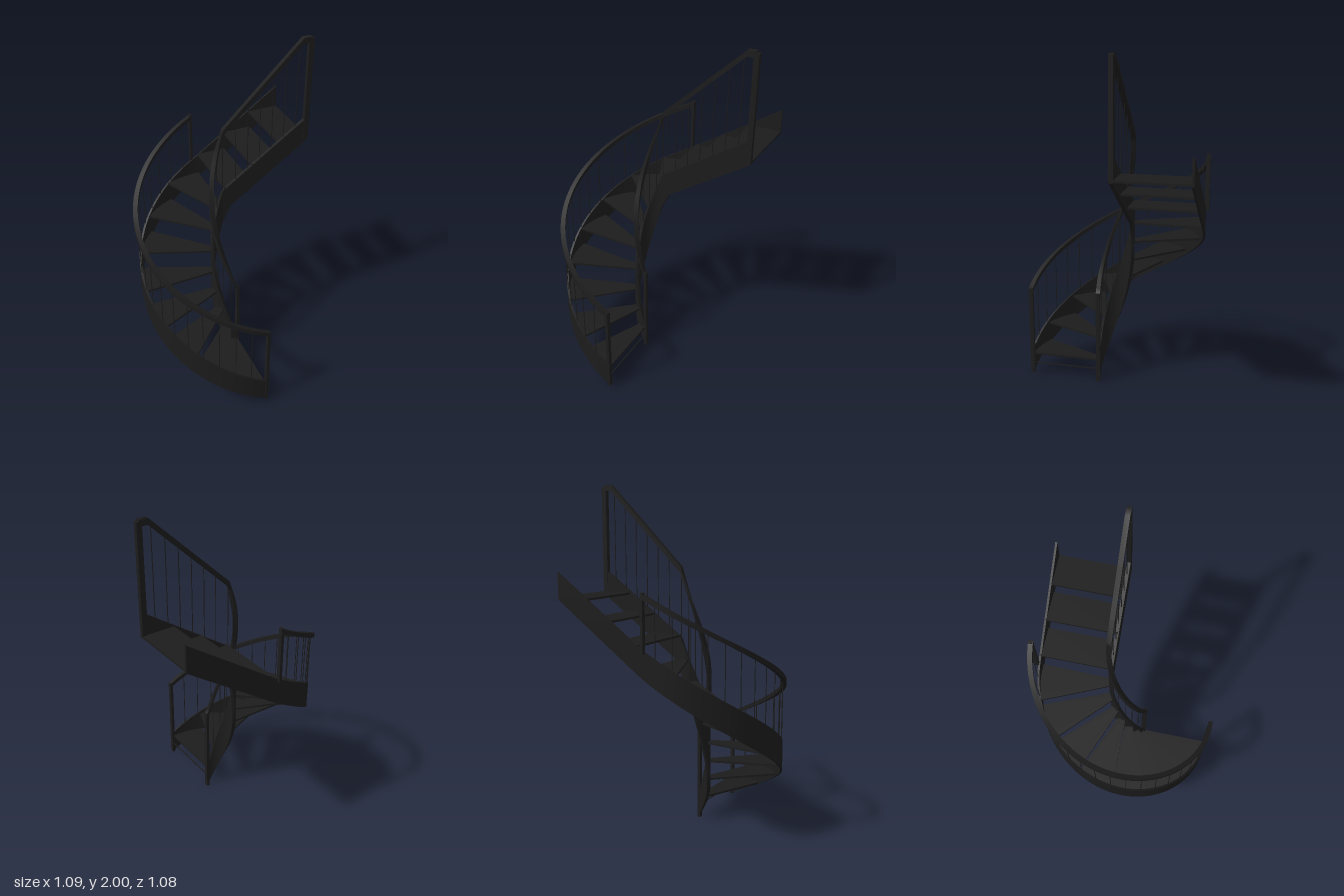
import * as THREE from 'three';

const PI = Math.PI;
const CX = 0.007;      // centre of the turn
const X0 = 0.02;       // foot of the stair
const X1 = 0.545;      // head of the straight flight
const lerp = (a, b, t) => a + (b - a) * t;

// Points along the turn: a = 0 at the foot, PI where the straight flight begins.
function turn(rx, rz0, rz1, from, to, n) {
  const pts = [];
  for (let i = 0; i <= n; i++) {
    const a = lerp(from, to, i / n);
    pts.push({ a, x: CX - rx * Math.sin(a), z: lerp(rz0, rz1, a / PI) * Math.cos(a) });
  }
  return pts;
}

// Rectangular bar swept along plan points, each with its own bottom and top height.
function sweep(pts, width) {
  const n = pts.length;
  const rings = pts.map((p, i) => {
    const q = pts[Math.max(i - 1, 0)], r = pts[Math.min(i + 1, n - 1)];
    const dx = r.x - q.x, dz = r.z - q.z, l = Math.hypot(dx, dz) || 1;
    const ox = (dz / l) * width / 2, oz = (-dx / l) * width / 2;
    return [
      [p.x - ox, p.yb, p.z - oz], [p.x + ox, p.yb, p.z + oz],
      [p.x + ox, p.yt, p.z + oz], [p.x - ox, p.yt, p.z - oz],
    ];
  });
  const pos = [], idx = [];
  for (let s = 0; s < 4; s++) {
    const base = pos.length / 3;
    rings.forEach((c) => pos.push(...c[s], ...c[(s + 1) % 4]));
    for (let i = 0; i < n - 1; i++) {
      const k = base + i * 2;
      idx.push(k, k + 1, k + 2, k + 1, k + 3, k + 2);
    }
  }
  // end caps
  [rings[0], rings[n - 1]].forEach((c, e) => {
    const b = pos.length / 3;
    c.forEach((v) => pos.push(...v));
    if (e) idx.push(b, b + 1, b + 2, b, b + 2, b + 3);
    else idx.push(b, b + 2, b + 1, b, b + 3, b + 2);
  });
  const g = new THREE.BufferGeometry();
  g.setAttribute('position', new THREE.Float32BufferAttribute(pos, 3));
  g.setIndex(idx);
  g.computeVertexNormals();
  return g;
}

export function createModel() {
  const group = new THREE.Group();
  const black = new THREE.MeshStandardMaterial({ color: 0x1c1c1c, side: THREE.DoubleSide });
  black.name = 'blackSteel';
  const add = (name, geo) => {
    const m = new THREE.Mesh(geo, black);
    m.name = name;
    group.add(m);
    return m;
  };
  const box = (name, x0, x1, y0, y1, z0, z1) =>
    add(name, new THREE.BoxGeometry(x1 - x0, y1 - y0, z1 - z0))
      .position.set((x0 + x1) / 2, (y0 + y1) / 2, (z0 + z1) / 2);
  const baluster = (name, x, z, y0, y1) =>
    add(name, new THREE.CylinderGeometry(0.0024, 0.0024, y1 - y0, 6))
      .position.set(x, (y0 + y1) / 2, z);

  // Height rules
  const base = (a) => lerp(0.02, 1.0, a / PI);
  const flight = (x) => 1.0 + 0.69 * (x - CX);
  const outerRailY = (a) => lerp(0.58, 1.45, a / PI);
  const innerRailY = (a) => lerp(0.58, 1.55, a / PI);
  const flightRailY = (x) => Math.min(1.55 + 0.95 * (x - CX), 2.0);

  // Stringers: the inner one is deeper where it is steep, easing into the straight flight
  function stringer(name, rx, rz0, rz1, dip, lift, sag, width) {
    const pts = turn(rx, rz0, rz1, 0, PI, 64);
    pts.forEach((p) => {
      p.yb = base(p.a) - dip * Math.sin(p.a) - sag * (p.a / PI) ** 4;
      p.yt = base(p.a) + 0.15 + lift * Math.sin(p.a);
    });
    pts.unshift({ x: X0, z: rz0, yb: 0.015, yt: 0.16 });
    for (const x of [0.03, 0.055, 0.2, 0.4, X1]) {
      const ease = Math.max(0, 1 - (x - CX) / 0.048);
      pts.push({ x, z: -rz1, yb: flight(x) - sag * ease, yt: flight(x) + 0.15 });
    }
    add(name, sweep(pts, width));
  }
  stringer('outerStringer', 0.535, 0.526, 0.514, 0.025, 0, 0, 0.012);
  stringer('innerStringer', 0.105, 0.105, 0.105, 0.115, 0.05, 0.06, 0.02);

  // Outer handrail, ending with the turn
  const outerRail = turn(0.541, 0.526, 0.526, 0, PI * 0.985, 64);
  outerRail.forEach((p) => { p.yt = outerRailY(p.a); p.yb = p.yt - 0.027; });
  outerRail.unshift({ x: X0, z: 0.526, yt: 0.575, yb: 0.55 });
  add('outerHandrail', sweep(outerRail, 0.027));

  // Inner handrail, continuing up the straight flight
  const innerRail = turn(0.105, 0.105, 0.105, 0, PI, 40);
  innerRail.forEach((p) => {
    p.yt = innerRailY(p.a);
    p.yb = p.yt - 0.035 * (1 + 0.9 * Math.sin(p.a));
  });
  innerRail.unshift({ x: X0, z: 0.105, yt: 0.575, yb: 0.545 });
  for (const x of [0.1, 0.3, 0.481, 0.53]) {
    innerRail.push({ x, z: -0.105, yt: flightRailY(x), yb: flightRailY(x) - 0.034 });
  }
  add('innerHandrail', sweep(innerRail, 0.027));

  // Posts at the rail ends
  box('outerFootPost', 0.002, X0, 0.015, 0.565, 0.514, 0.539);
  box('innerFootPost', 0.002, X0, 0, 0.565, 0.093, 0.117);
  box('outerEndPost', -0.03, -0.014, 1.12, 1.44, -0.537, -0.514);
  box('innerHeadPost', 0.515, X1, 1.375, 1.99, -0.118, -0.093);

  // Balusters
  turn(0.535, 0.526, 0.514, PI / 18, PI * 17 / 18, 16).forEach((p) =>
    baluster('outerBaluster', p.x, p.z, base(p.a) + 0.1, outerRailY(p.a) - 0.01));
  turn(0.105, 0.105, 0.105, PI / 8, PI, 7).forEach((p) =>
    baluster('innerBaluster', p.x, p.z, base(p.a) + 0.1, innerRailY(p.a) - 0.02));
  for (let i = 1; i <= 6; i++) {
    const x = 0.013 + i * 0.075;
    baluster('flightBaluster', x, -0.105, flight(x) + 0.12, flightRailY(x) - 0.02);
  }

  // Winder treads, each slightly overlapping the next
  const T = 0.012;
  for (let k = 0; k < 8; k++) {
    const a0 = k * PI / 8 - (k ? 0.01 : 0), a1 = (k + 1) * PI / 8 + 0.02;
    const edge = [
      ...turn(0.532, 0.524, 0.512, a0, a1, 5),
      ...turn(0.1, 0.1, 0.1, a1, a0, 3),
    ];
    const shape = new THREE.Shape(edge.map((p) => new THREE.Vector2(p.x, -p.z)));
    const g = new THREE.ExtrudeGeometry(shape, { depth: T, bevelEnabled: false });
    g.rotateX(-PI / 2);
    add('winderTread', g).position.y = 0.146 + k * 0.1265 - T;
  }

  // Straight treads
  [[0.015, 0.192, 1.165], [0.187, 0.365, 1.28], [0.357, X1, 1.387]].forEach(([x0, x1, y]) =>
    box('straightTread', x0, x1, y - T, y, -0.512, -0.1));

  // Tie rod across the foot
  box('footTieRod', 0.005, 0.011, 0.077, 0.083, 0.105, 0.525);

  return group;
}
